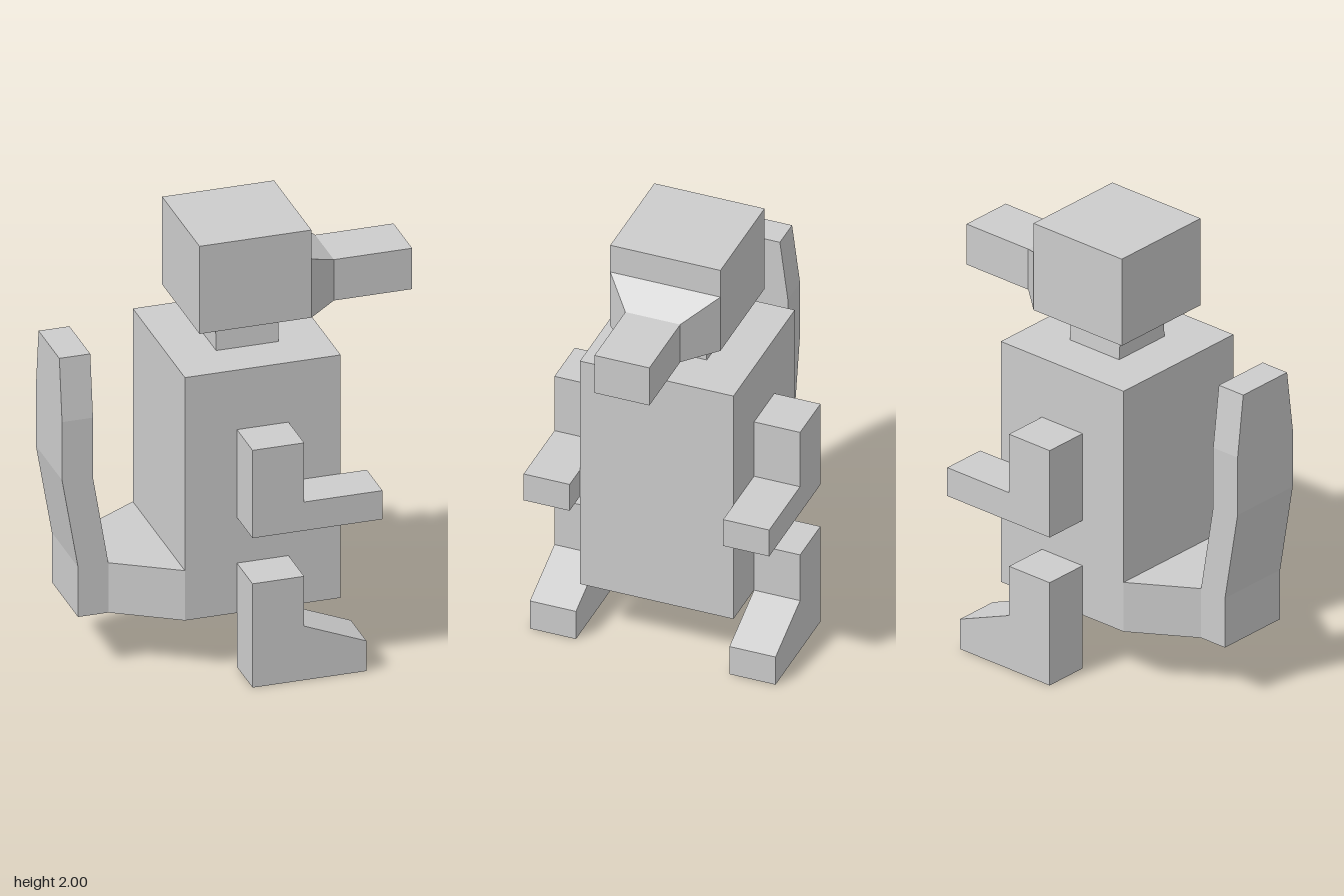
import * as THREE from 'three';

const grey = new THREE.MeshStandardMaterial({ color: 0xcccccc });
grey.name = 'plain grey';

// Skin over sections [ax, ay, bx, by, halfDepth]: edge a to edge b, mirrored in z.
function loft(sections) {
  const rings = sections.map(([ax, ay, bx, by, h]) => [
    new THREE.Vector3(ax, ay, h), new THREE.Vector3(ax, ay, -h),
    new THREE.Vector3(bx, by, -h), new THREE.Vector3(bx, by, h),
  ]);
  const points = [];
  const tri = (a, b, c) => {
    if (new THREE.Triangle(a, b, c).getArea() > 1e-6) points.push(a, b, c);
  };
  const quad = (a, b, c, d) => { tri(a, b, c); tri(a, c, d); };
  for (let s = 0; s < rings.length - 1; s++) {
    const p = rings[s], n = rings[s + 1];
    for (let i = 0; i < 4; i++) {
      const j = (i + 1) % 4;
      quad(p[i], n[i], n[j], p[j]);
    }
  }
  const first = rings[0], last = rings[rings.length - 1];
  quad(first[0], first[1], first[2], first[3]);
  quad(last[3], last[2], last[1], last[0]);
  const geometry = new THREE.BufferGeometry().setFromPoints(points);
  geometry.computeVertexNormals();
  return geometry;
}

// Box from its side outline limits and half depth.
function block(x0, x1, y0, y1, h) {
  return new THREE.BoxGeometry(x1 - x0, y1 - y0, 2 * h)
    .translate((x0 + x1) / 2, (y0 + y1) / 2, 0);
}

// Limb: side outline extruded from the body side outwards.
function limb(outline, side) {
  const shape = new THREE.Shape(outline.map(([x, y]) => new THREE.Vector2(x, y)));
  const depth = 0.215;
  return new THREE.ExtrudeGeometry(shape, { depth, bevelEnabled: false })
    .translate(0, 0, side > 0 ? 0.358 : -0.358 - depth);
}

export function createModel() {
  const model = new THREE.Group();
  model.name = 'blockAnimal';
  const add = (name, geometry) => {
    const mesh = new THREE.Mesh(geometry, grey);
    mesh.name = name;
    model.add(mesh);
  };

  add('body', block(-0.307, 0.403, 0.26, 1.43, 0.358));
  add('neck', loft([
    [-0.095, 1.43, 0.19, 1.43, 0.148],
    [-0.095, 1.578, 0.19, 1.578, 0.138],
  ]));
  add('head', block(-0.207, 0.303, 1.578, 2, 0.257));

  // Snout, from the tip back to the face
  add('snout', loft([
    [0.805, 1.578, 0.805, 1.775, 0.128],
    [0.448, 1.578, 0.448, 1.775, 0.128],
    [0.303, 1.578, 0.303, 1.86, 0.257],
  ]));

  // Tail, from the rump back and then upwards
  add('tail', loft([
    [-0.307, 0.26, -0.307, 0.5, 0.358],
    [-0.597, 0.26, -0.597, 0.5, 0.18],
    [-0.735, 0.26, -0.597, 0.5, 0.18],
    [-0.735, 0.5, -0.597, 0.5, 0.18],
    [-0.808, 0.93, -0.667, 0.92, 0.18],
    [-0.808, 1.21, -0.667, 1.21, 0.18],
    [-0.808, 1.5, -0.667, 1.5, 0.143],
  ]));

  // Arms and legs, mirrored in z
  const arm = [[-0.07, 0.72], [0.522, 0.72], [0.522, 0.858], [0.165, 0.858], [0.165, 1.143], [-0.07, 1.143]];
  const leg = [[-0.07, 0], [0.449, 0], [0.449, 0.145], [0.165, 0.26], [0.165, 0.5], [-0.07, 0.5]];
  for (const side of [1, -1]) {
    const label = side > 0 ? 'Near' : 'Far';
    add('arm' + label, limb(arm, side));
    add('leg' + label, limb(leg, side));
  }
  return model;
}
